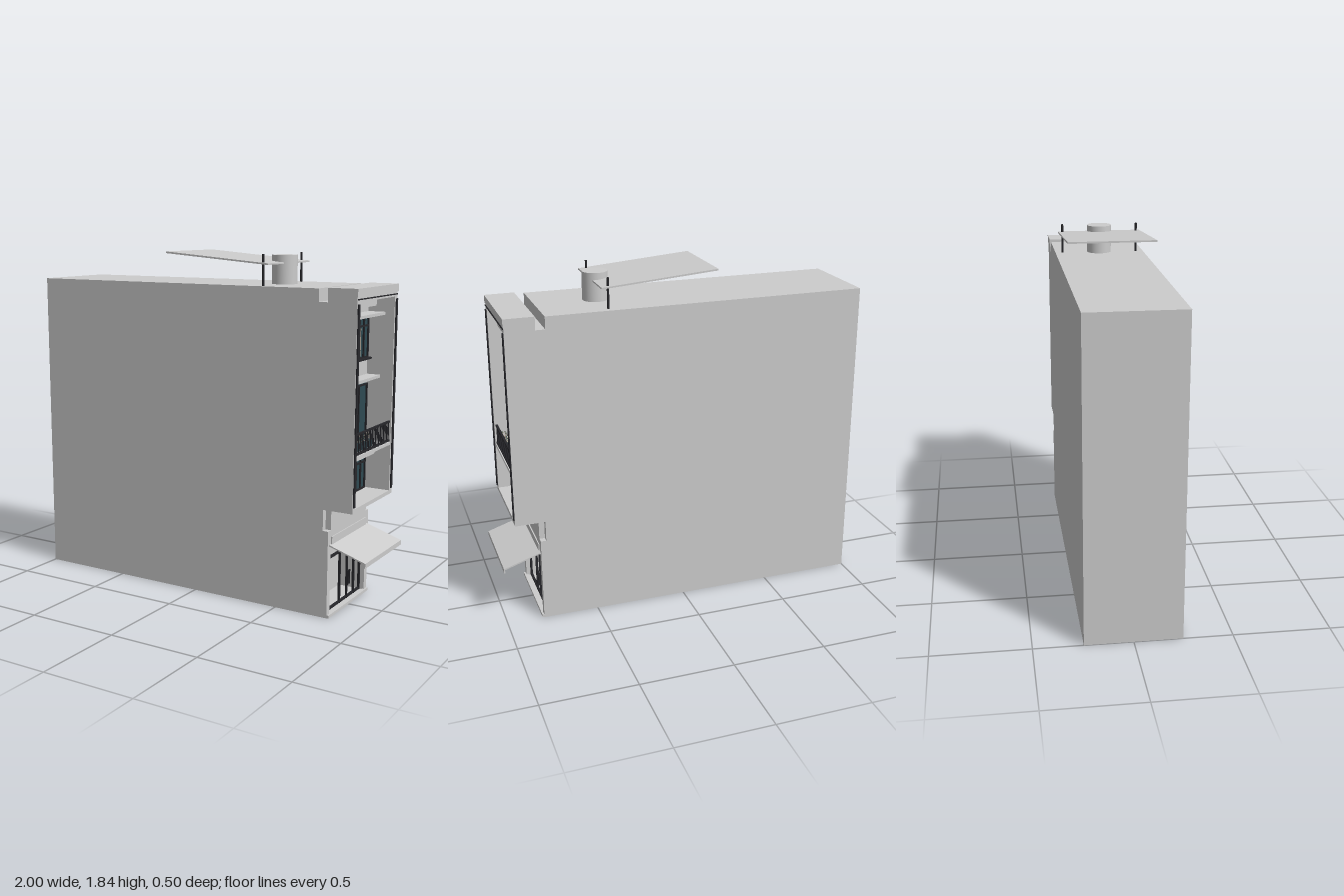
import * as THREE from 'three';

const mat = (name, color, double = false) => {
  const m = new THREE.MeshStandardMaterial({ color });
  m.name = name;
  if (double) m.side = THREE.DoubleSide;
  return m;
};

export function createModel() {
  const root = new THREE.Group();
  root.name = 'townHouse';
  const wall = mat('wallGrey', 0xcccccc);
  const glass = mat('tealGlass', 0x2e4a52);
  const dark = mat('darkMetal', 0x27272b);
  const petal = mat('flowerBeige', 0xb5ab9a);
  const leaf = mat('leafGreen', 0x4a5a48);

  const add = (name, geo, material, parent = root) => {
    const m = new THREE.Mesh(geo, material);
    m.name = name;
    parent.add(m);
    return m;
  };
  // box given by its limits on each axis
  const box = (name, x0, x1, y0, y1, z0, z1, material, parent) => {
    const g = new THREE.BoxGeometry(x1 - x0, y1 - y0, z1 - z0);
    g.translate((x0 + x1) / 2, (y0 + y1) / 2, (z0 + z1) / 2);
    return add(name, g, material, parent);
  };
  // side profile pulled across the width
  const slab = (name, pts, z0, z1, material) => {
    const shape = new THREE.Shape(pts.map(([x, y]) => new THREE.Vector2(x, y)));
    const g = new THREE.ExtrudeGeometry(shape, { depth: z1 - z0, bevelEnabled: false });
    g.translate(0, 0, z0);
    return add(name, g, material);
  };

  // Building: recessed core between two full side walls
  const FX = 0.785, IN = 0.215, OUT = 0.248;
  const roof = [[0.93, 1.675], [0.775, 1.675], [0.775, 1.61], [0.725, 1.61], [0.725, 1.675], [-1, 1.675]];
  slab('buildingCore', [
    [-1, 0], [0.8, 0], [0.8, 0.012], [0.65, 0.012], [0.65, 0.38], [0.8, 0.38], [0.8, 0.57],
    [0.93, 0.57], [0.93, 0.59], [FX, 0.59], [FX, 1.615], [0.93, 1.615], ...roof,
  ], -IN, IN, wall);
  for (const s of [-1, 1]) {
    slab('sideWall', [
      [-1, 0], [0.8, 0], [0.8, 0.46], [0.77, 0.46], [0.77, 0.57], [0.93, 0.57], ...roof,
    ], s > 0 ? IN : -OUT, s > 0 ? OUT : -IN, wall);
    box('edgeStrip', 0.925, 0.936, 0.6, 1.605, s * 0.235 - 0.009, s * 0.235 + 0.009, dark);
  }
  box('parapetCap', 0.775, 0.934, 1.64, 1.68, -0.252, 0.252, wall);
  box('parapetTrim', 0.925, 0.934, 1.625, 1.631, -0.245, 0.245, dark);
  box('doorStep', 0.79, 0.81, 0, 0.015, -0.245, 0.245, wall);

  // Ledges across the facade
  for (const [y0, y1, x1] of [[0.78, 0.81, 0.84], [1.19, 1.205, 0.86], [1.52, 1.535, 0.88], [1.565, 1.6, 0.83]])
    box('facadeLedge', FX - 0.01, x1, y0, y1, -IN, IN, wall);
  box('balconyFloor', FX - 0.01, 0.928, 0.838, 0.853, -IN, IN, wall);

  // Windows: pane, outer frame, mullions and optional transom
  const windowUnit = (name, z0, z1, y0, y1, cols, transom) => {
    const g = new THREE.Group();
    g.name = name;
    root.add(g);
    const t = 0.009, a = FX, b = FX + 0.014;
    box('pane', a - 0.002, a + 0.006, y0, y1, z0, z1, glass, g);
    for (let i = 0; i <= cols; i++) {
      const z = z0 + t / 2 + (z1 - z0 - t) * i / cols;
      box('mullion', a, b, y0, y1, z - t / 2, z + t / 2, dark, g);
    }
    for (const y of [y0, y1 - t]) box('frameRail', a, b, y, y + t, z0, z1, dark, g);
    if (transom) box('transom', a, b, transom, transom + t, z0, z1, dark, g);
  };
  for (const [z0, z1] of [[0.025, 0.2], [-0.2, -0.025]]) {
    windowUnit('upperWindow', z0, z1, 1.295, 1.51, 3, 1.46);
    windowUnit('lowerWindow', z0, z1, 0.592, 0.77, 3, 0.735);
    box('windowSill', FX, 0.815, 1.288, 1.297, z0 - 0.008, z1 + 0.008, dark);
    const m = z0 + 0.11;
    box('windowHandle', FX, FX + 0.016, 1.31, 1.455, m - 0.003, m + 0.003, petal);
  }
  windowUnit('balconyDoor', -0.2, 0.2, 0.853, 1.16, 4);

  // Balcony railing
  const rail = new THREE.Group();
  rail.name = 'balconyRailing';
  root.add(rail);
  for (const y of [0.857, 0.957]) box('handrail', 0.912, 0.924, y, y + 0.009, -IN, IN, dark, rail);
  for (let i = 0; i <= 20; i++) {
    const z = -0.208 + 0.0208 * i;
    box('baluster', 0.916, 0.921, 0.853, 0.96, z - 0.0025, z + 0.0025, dark, rail);
  }

  // Planters with loose flowers
  let seed = 7;
  const rnd = () => (seed = (seed * 16807) % 2147483647) / 2147483647;
  const flowers = (x0, x1, y0, y1, z0, z1, count) => {
    const g = new THREE.Group();
    g.name = 'flowers';
    root.add(g);
    for (let i = 0; i < count; i++) {
      const m = add('blossom', new THREE.TetrahedronGeometry(0.006), i % 3 ? petal : leaf, g);
      m.position.set(x0 + rnd() * (x1 - x0), y0 + rnd() * (y1 - y0), z0 + rnd() * (z1 - z0));
      m.rotation.set(rnd() * 6, rnd() * 6, 0);
    }
  };
  box('windowPlanter', 0.8, 0.845, 1.25, 1.29, 0.04, 0.19, glass);
  flowers(0.8, 0.85, 1.293, 1.333, 0.035, 0.195, 90);
  box('balconyPlanter', 0.87, 0.908, 0.865, 0.9, -0.03, 0.2, glass);
  flowers(0.872, 0.91, 0.9, 0.94, -0.03, 0.2, 110);

  // Shop front: open frame with handles
  const door = new THREE.Group();
  door.name = 'shopFront';
  root.add(door);
  for (const [z, w] of [[0.209, 0.01], [0.04, 0.009], [-0.05, 0.004], [-0.135, 0.009], [-0.209, 0.01]])
    box('doorPost', 0.765, 0.777, 0.012, 0.38, z - w / 2, z + w / 2, dark, door);
  for (const y of [0.014, 0.292, 0.368]) box('doorRail', 0.765, 0.777, y, y + 0.011, -0.21, 0.21, dark, door);
  for (const z of [-0.04, -0.06]) box('doorHandle', 0.777, 0.787, 0.09, 0.17, z - 0.002, z + 0.002, dark, door);

  // Awning with a front lip, and the panel above it
  slab('awning', [
    [0.795, 0.381], [0.994, 0.316], [0.994, 0.297], [1, 0.297], [1, 0.322], [0.795, 0.388],
  ], -0.232, 0.232, wall);
  box('frontPanel', 0.795, 0.806, 0.385, 0.425, -0.21, 0.21, wall);

  // Roof canopy on posts, beside the water tank
  slab('roofCanopy', [[-0.187, 1.829], [0.43, 1.78], [0.43, 1.788], [-0.187, 1.838]], -0.23, 0.23, wall);
  for (const z of [-0.208, 0.208]) {
    const post = add('canopyPost', new THREE.CylinderGeometry(0.006, 0.006, 0.16, 10), dark);
    post.position.set(0.392, 1.753, z);
  }
  const tank = add('waterTank', new THREE.CylinderGeometry(0.067, 0.067, 0.152, 32), wall);
  tank.position.set(0.403, 1.749, 0);

  return root;
}
